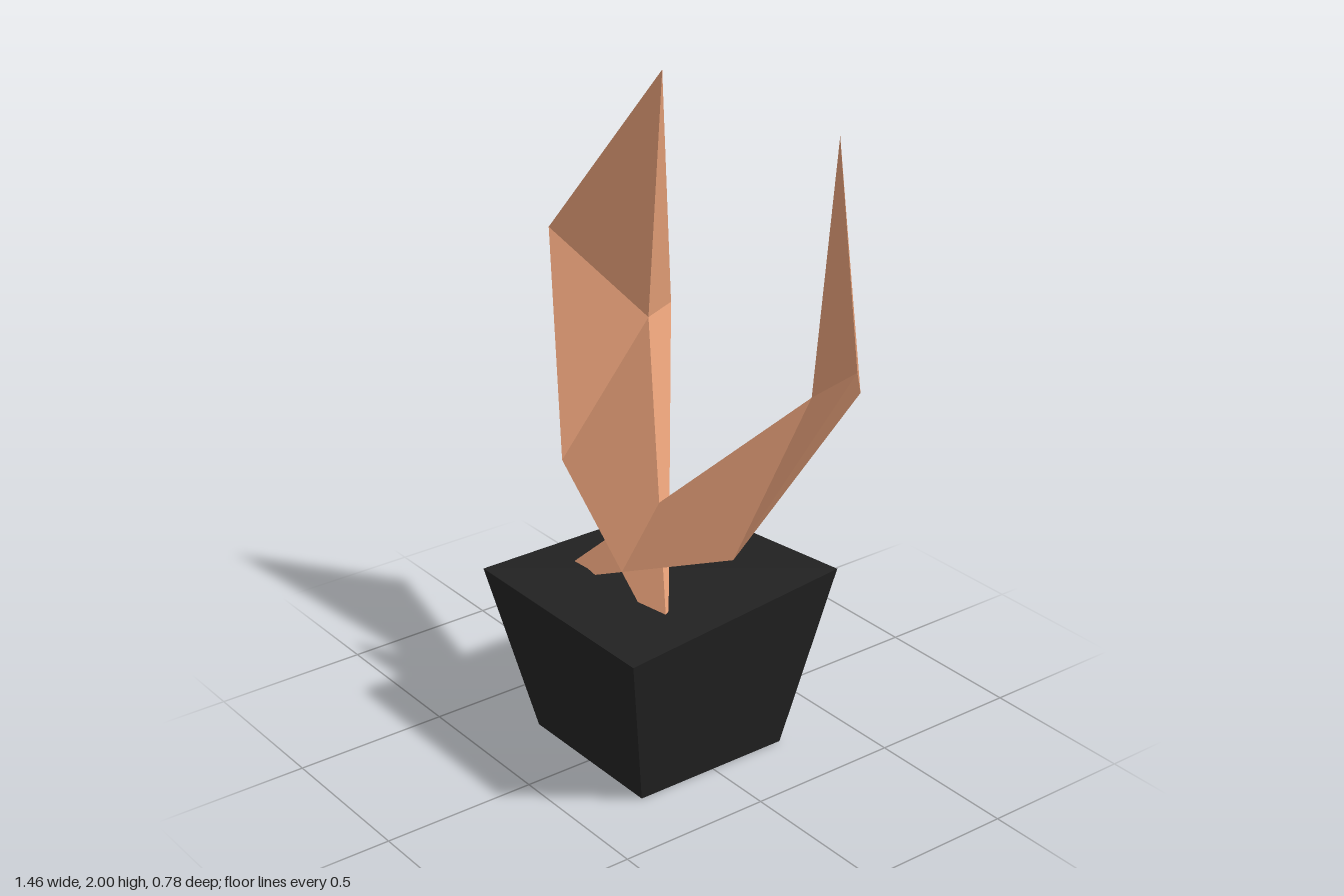
import * as THREE from 'three';

const copper = new THREE.MeshStandardMaterial({ color: 0xde9a74 });
copper.name = 'copper';
const charcoal = new THREE.MeshStandardMaterial({ color: 0x222222 });
charcoal.name = 'charcoal';

// Faceted leaf: six corners, eight triangles; side = -1 mirrors it across x = 0.
function makeLeaf(side) {
  const corners = {
    tip: [0.405, 2, -0.32],
    outer: [0.73, 1.45, -0.12],
    inner: [0.39, 1.22, -0.255],
    back: [0.45, 1.22, -0.39],
    lower: [0.425, 0.805, 0.058],
    root: [-0.31, 0.477, 0.205], // hidden inside the pot
  };
  const faces = [
    'tip inner outer', 'inner lower outer', 'inner root lower', // front
    'tip back inner', 'inner back root', // inner edge
    'tip outer back', 'outer lower back', 'lower root back', // rear
  ];
  const positions = faces.flatMap((face) => {
    const names = face.split(' ');
    if (side < 0) names.reverse();
    return names.flatMap((n) => [corners[n][0] * side, corners[n][1], corners[n][2]]);
  });
  const geometry = new THREE.BufferGeometry();
  geometry.setAttribute('position', new THREE.Float32BufferAttribute(positions, 3));
  geometry.computeVertexNormals();
  const leaf = new THREE.Mesh(geometry, copper);
  leaf.name = side > 0 ? 'leftLeaf' : 'rightLeaf';
  return leaf;
}

// Square pot flaring upwards, with one rear corner of the rim raised.
function makePot() {
  const box = new THREE.BoxGeometry(2, 1, 2);
  const p = box.attributes.position;
  for (let i = 0; i < p.count; i++) {
    const x = p.getX(i), z = p.getZ(i);
    const top = p.getY(i) > 0;
    const half = top ? 0.385 : 0.27;
    const rim = x > 0 && z < 0 ? 0.62 : 0.545;
    p.setXYZ(i, x * half, top ? rim : 0, z * half + 0.004);
  }
  const geometry = box.toNonIndexed();
  geometry.computeVertexNormals();
  const pot = new THREE.Mesh(geometry, charcoal);
  pot.name = 'pot';
  return pot;
}

export function createModel() {
  const model = new THREE.Group();
  model.name = 'pottedLeaves';
  model.add(makePot(), makeLeaf(1), makeLeaf(-1));
  return model;
}
